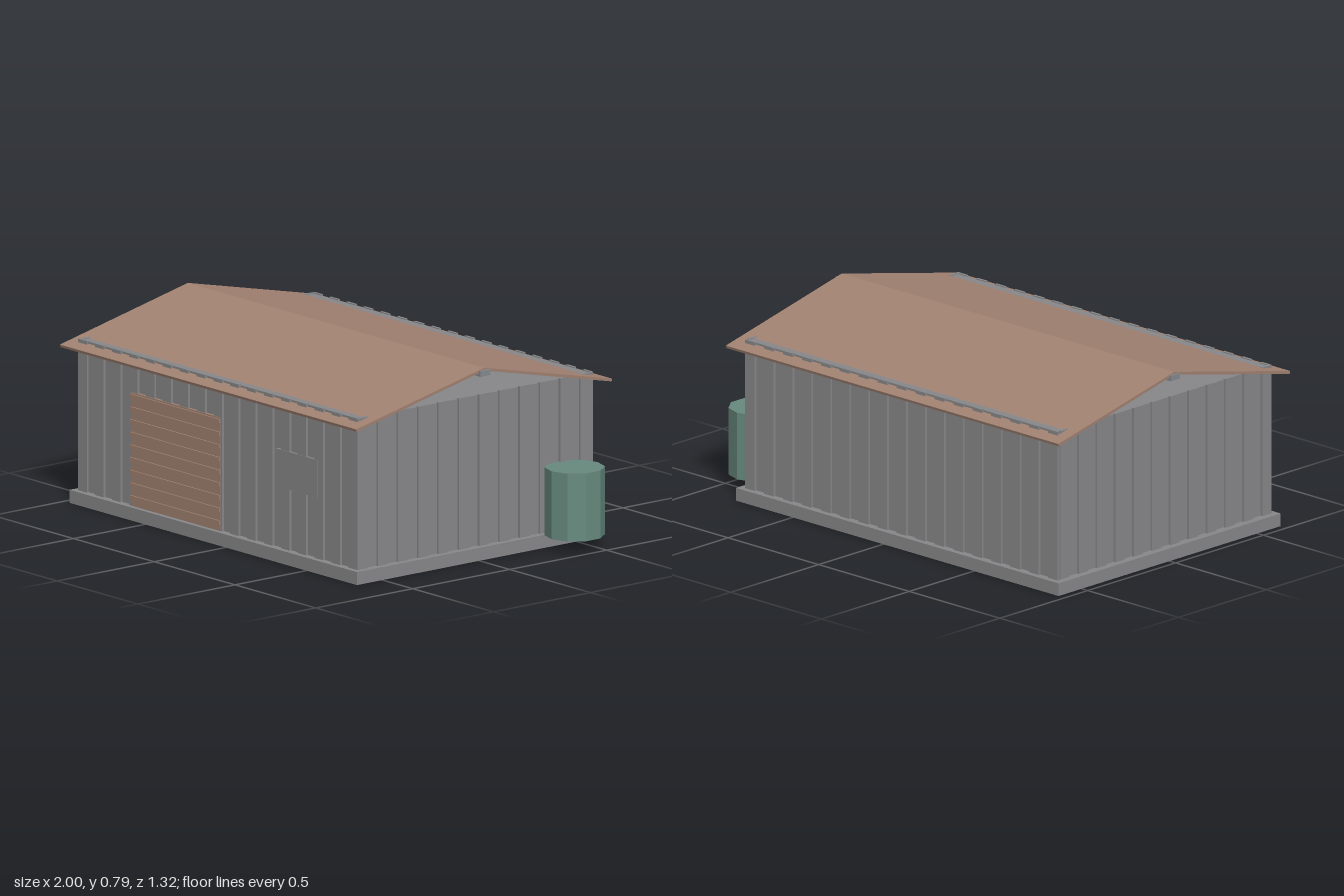
import * as THREE from 'three';

const mat = (name, color) => Object.assign(new THREE.MeshStandardMaterial({ color }), { name });

export function createModel() {
  const model = new THREE.Group();
  model.name = 'shed';
  const grey = mat('sheet grey', 0x88888a);
  const steel = mat('steel grey', 0x858a8f);
  const brown = mat('roof brown', 0xa28272);
  const green = mat('tank green', 0x678a7e);

  const add = (name, geo, material, parent = model) => {
    const mesh = new THREE.Mesh(geo, material);
    mesh.name = name;
    parent.add(mesh);
    return mesh;
  };
  // Box given by its lower and upper corners
  const box = (name, x0, x1, y0, y1, z0, z1, material, parent) => {
    const mesh = add(name, new THREE.BoxGeometry(x1 - x0, y1 - y0, z1 - z0), material, parent);
    mesh.position.set((x0 + x1) / 2, (y0 + y1) / 2, (z0 + z1) / 2);
    return mesh;
  };

  // Slab and wall core
  box('slab', -0.967, 0.813, 0, 0.053, -0.632, 0.632, grey);
  box('wallCore', -0.93, 0.78, 0.053, 0.667, -0.599, 0.599, grey);

  // Corrugated cladding: raised ribs on all four walls
  const cladding = new THREE.Group();
  cladding.name = 'cladding';
  model.add(cladding);
  const period = 0.1045, rib = 0.053;
  for (let i = 0; i < 17; i++) {
    const x = -0.94 + i * period;
    const end = Math.min(x + rib, 0.79);
    box('frontRib', x, end, 0.053, 0.671, 0.598, 0.609, grey, cladding);
    box('backRib', x, end, 0.053, 0.671, -0.609, -0.598, grey, cladding);
  }
  for (let i = 0; i < 12; i++) {
    const z = 0.609 - i * period;
    const end = Math.max(z - rib, -0.609);
    box('rightRib', -0.94, -0.929, 0.053, 0.671, end, z, grey, cladding);
    box('leftRib', 0.779, 0.79, 0.053, 0.671, end, z, grey, cladding);
  }

  // Roller door with horizontal slats
  const door = new THREE.Group();
  door.name = 'rollerDoor';
  model.add(door);
  box('doorPanel', -0.61, -0.058, 0.053, 0.516, 0.6, 0.612, brown, door);
  for (let i = 0; i < 9; i++) {
    const y = 0.08 + i * 0.0517;
    box('doorSlat', -0.61, -0.058, y, y + 0.016, 0.611, 0.618, brown, door);
  }

  // Window panel
  box('window', 0.285, 0.545, 0.302, 0.456, 0.6, 0.611, grey);

  // Gabled roof: thin bent sheet run along x
  const pts = [[-0.66, 0.645], [0, 0.793], [0.66, 0.645], [0.657, 0.634], [0, 0.781], [-0.657, 0.634]];
  const profile = new THREE.Shape(pts.map(([z, y]) => new THREE.Vector2(z, y)));
  const roof = add('roof', new THREE.ExtrudeGeometry(profile, { depth: 1.835, bevelEnabled: false }), brown);
  roof.rotation.y = Math.PI / 2;
  roof.position.x = -0.993;

  // Ridge beam under the peak
  box('ridgeBeam', -1, 0.85, 0.761, 0.784, -0.026, 0.026, steel);

  // Ten-sided water tank beside the left wall
  const tankGeo = new THREE.CylinderGeometry(0.12, 0.12, 0.277, 10).toNonIndexed();
  tankGeo.computeVertexNormals();
  add('waterTank', tankGeo, green).position.set(0.886, 0.1915, -0.43);

  return model;
}
